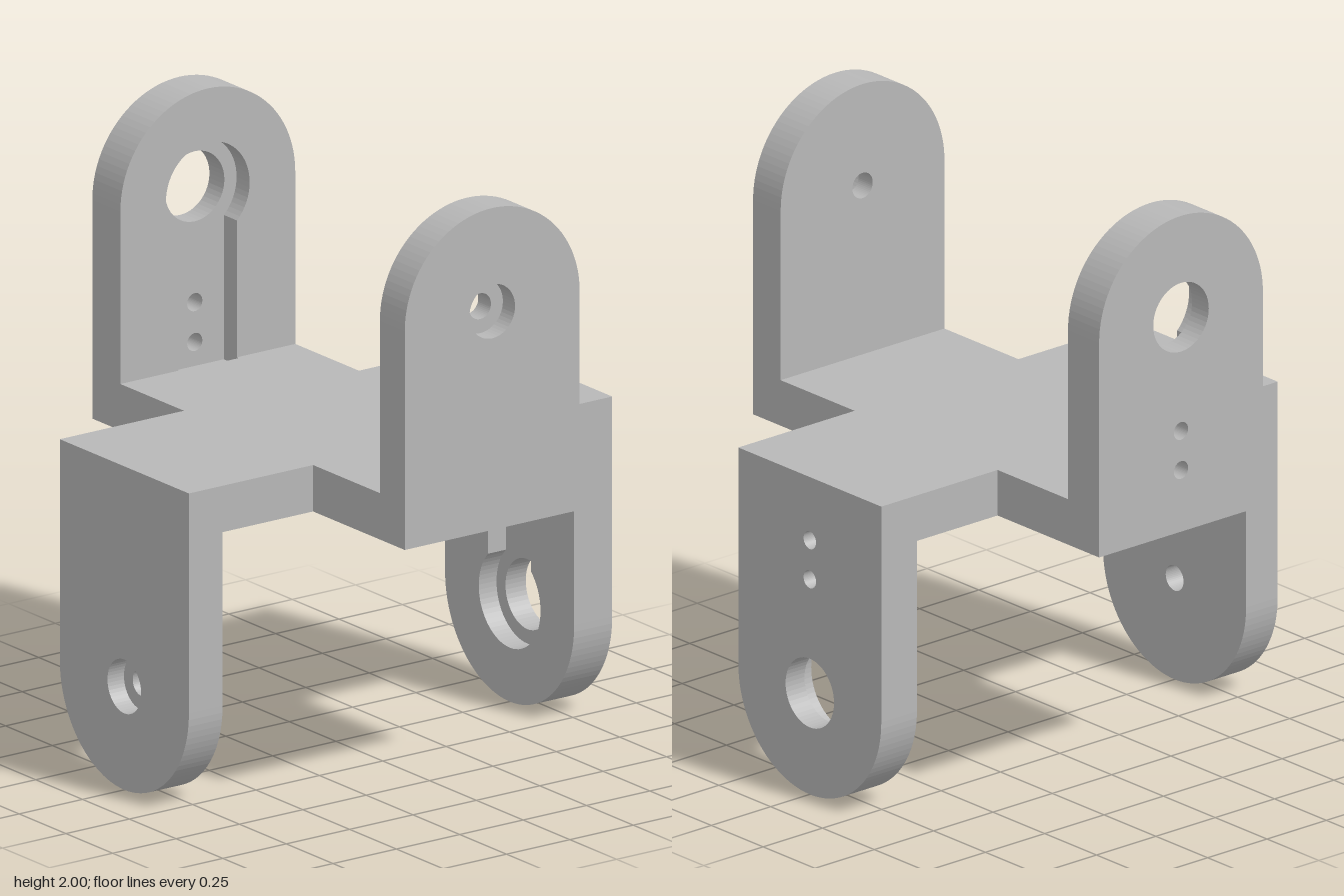
import * as THREE from 'three';

const W = 0.345;        // half width of every arm
const OUT = 0.835;      // outer reach of the bracket
const THICK = 0.15, THIN = 0.133;
const PLATE_LOW = 0.925, PLATE_TOP = 1.08;
const SLOT = 0.115, SLOT_END = 0.6, POCKET = 0.165;

const grey = new THREE.MeshStandardMaterial({ color: 0xb8b8b8 });
grey.name = 'grey plastic';

function circle(r, y = 0) {
  return new THREE.Path().absarc(0, y, r, 0, Math.PI * 2, true);
}

// Round pocket joined to a straight slot that runs towards the plate
function keyhole() {
  const h = Math.sqrt(POCKET * POCKET - SLOT * SLOT);
  const p = new THREE.Path();
  p.moveTo(-SLOT, -SLOT_END);
  p.lineTo(SLOT, -SLOT_END);
  p.absarc(0, 0, POCKET, Math.atan2(-h, SLOT), Math.atan2(-h, -SLOT), false);
  p.closePath();
  return p;
}

// One slice of a round-ended arm; the pivot is the origin, +z points outward
function armLayer(name, length, zBack, depth, holes) {
  const s = new THREE.Shape();
  s.moveTo(-W, -length);
  s.lineTo(W, -length);
  s.lineTo(W, 0);
  s.absarc(0, 0, W, 0, Math.PI, false);
  s.closePath();
  s.holes.push(...holes);
  const geo = new THREE.ExtrudeGeometry(s, { depth, bevelEnabled: false, curveSegments: 24 });
  geo.translate(0, 0, zBack);
  const mesh = new THREE.Mesh(geo, grey);
  mesh.name = name;
  return mesh;
}

// Thick arm: through hole and two screw holes, keyed pocket on the inside
function hornArm(name, length) {
  const g = new THREE.Group();
  g.name = name;
  const pocketDepth = 0.07;
  g.add(
    armLayer('outerWall', length, pocketDepth - THICK, THICK - pocketDepth,
      [circle(0.117), circle(0.03, -0.387), circle(0.03, -0.52)]),
    armLayer('pocketWall', length, -THICK, pocketDepth, [keyhole()]));
  return g;
}

// Thin arm: small pivot hole with a counterbore on the outside
function pivotArm(name, length) {
  const g = new THREE.Group();
  g.name = name;
  const bore = 0.065;
  g.add(
    armLayer('counterboreWall', length, -bore, bore, [circle(0.09)]),
    armLayer('pivotWall', length, -THIN, THIN - bore, [circle(0.043)]));
  return g;
}

// One slice of the cross plate; shallow notches continue the slots of the thick arms
function plateLayer(name, y0, y1, notchBack, notchRight) {
  const thickEnd = OUT - THICK, thinEnd = OUT - THIN, n = 0.01;
  const pts = [[-W, -thinEnd], [W, -thinEnd], [W, -W], [thickEnd, -W]];
  if (notchRight) pts.push([thickEnd, -SLOT], [thickEnd - n, -SLOT], [thickEnd - n, SLOT], [thickEnd, SLOT]);
  pts.push([thickEnd, W], [W, W], [W, thickEnd]);
  if (notchBack) pts.push([SLOT, thickEnd], [SLOT, thickEnd - n], [-SLOT, thickEnd - n], [-SLOT, thickEnd]);
  pts.push([-W, thickEnd], [-W, W], [-thinEnd, W], [-thinEnd, -W], [-W, -W]);
  const shape = new THREE.Shape(pts.map(([x, y]) => new THREE.Vector2(x, y)));
  const geo = new THREE.ExtrudeGeometry(shape, { depth: y1 - y0, bevelEnabled: false });
  geo.rotateX(-Math.PI / 2);
  geo.translate(0, y0, 0);
  const mesh = new THREE.Mesh(geo, grey);
  mesh.name = name;
  return mesh;
}

export function createModel() {
  const model = new THREE.Group();
  model.name = 'crossBracket';

  const upPivot = 2 - W, downPivot = W;
  const upLength = upPivot - PLATE_LOW, downLength = PLATE_TOP - downPivot;

  // Cross plate
  const lowNotch = downPivot + SLOT_END, topNotch = upPivot - SLOT_END;
  const plate = new THREE.Group();
  plate.name = 'crossPlate';
  plate.add(
    plateLayer('plateUnderside', PLATE_LOW, lowNotch, false, true),
    plateLayer('plateCore', lowNotch, topNotch, false, false),
    plateLayer('plateTop', topNotch, PLATE_TOP, true, false));
  model.add(plate);

  // Upward arms, front and back
  const front = pivotArm('frontArm', upLength);
  front.position.set(0, upPivot, OUT);
  const back = hornArm('backArm', upLength);
  back.position.set(0, upPivot, -OUT);
  back.rotation.y = Math.PI;

  // Downward arms, left and right
  const left = hornArm('leftArm', downLength);
  left.position.set(OUT, downPivot, 0);
  left.rotation.set(0, Math.PI / 2, Math.PI);
  const right = pivotArm('rightArm', downLength);
  right.position.set(-OUT, downPivot, 0);
  right.rotation.set(0, -Math.PI / 2, Math.PI);

  model.add(front, back, left, right);
  return model;
}
